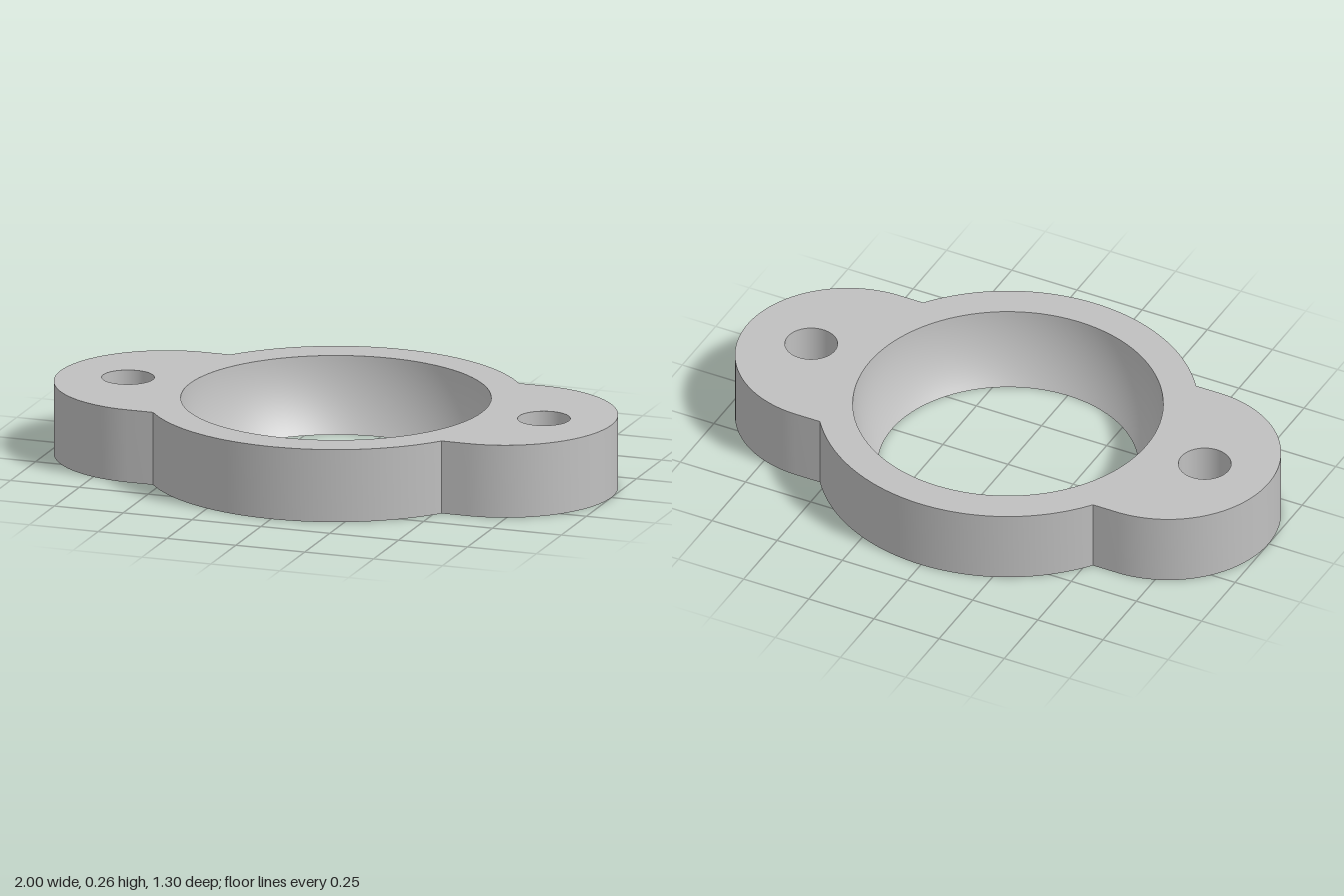
import * as THREE from 'three';
import { toCreasedNormals } from 'three/addons/utils/BufferGeometryUtils.js';

const HEIGHT = 0.257;
const RING_R = 0.65;
const LOBE_X = 0.615, LOBE_R = 0.385;
const SCREW_X = 0.755, SCREW_R = 0.09, SINK_R = 0.175;
const SEAT_Y = 0.29, SEAT_R = 0.531; // sphere that forms the central bore

const seatRadius = (y) => Math.sqrt(SEAT_R ** 2 - (SEAT_Y - y) ** 2);

// Round ring merged with two rounded lugs
function outline() {
  const a = Math.asin(LOBE_R / RING_R), h = Math.PI / 2;
  const s = new THREE.Shape();
  s.absarc(LOBE_X, 0, LOBE_R, -h, h);
  s.absarc(0, 0, RING_R, a, Math.PI - a);
  s.absarc(-LOBE_X, 0, LOBE_R, h, 3 * h);
  s.absarc(0, 0, RING_R, Math.PI + a, 2 * Math.PI - a);
  s.closePath();
  return s;
}

// Flat face with the bore and both screw openings
function faceGeometry(boreR, screwR) {
  const s = outline();
  for (const [x, r] of [[0, boreR], [SCREW_X, screwR], [-SCREW_X, screwR]]) {
    s.holes.push(new THREE.Path().absarc(x, 0, r, 0, Math.PI * 2, true));
  }
  return new THREE.ShapeGeometry(s, 48);
}

// Outer wall: only the sides of the extrusion
function wallGeometry() {
  const solid = new THREE.ExtrudeGeometry(outline(), { depth: HEIGHT, bevelEnabled: false, curveSegments: 32 });
  const { start, count } = solid.groups[1];
  const sides = solid.attributes.position.array.slice(start * 3, (start + count) * 3);
  const g = new THREE.BufferGeometry();
  g.setAttribute('position', new THREE.BufferAttribute(sides, 3));
  return toCreasedNormals(g.rotateX(-Math.PI / 2), 0.5);
}

// Inward-facing surface of revolution, profile listed from top to bottom
function holeGeometry(profile) {
  return new THREE.LatheGeometry(profile.map(([r, y]) => new THREE.Vector2(r, y)), 96).rotateY(Math.PI / 2);
}

export function createModel() {
  const group = new THREE.Group();
  group.name = 'flange';
  const grey = new THREE.MeshStandardMaterial({ color: 0xc0c0c0 });
  grey.name = 'light grey';

  const add = (name, geometry, x = 0, y = 0) => {
    const mesh = new THREE.Mesh(geometry, grey);
    mesh.name = name;
    mesh.position.set(x, y, 0);
    group.add(mesh);
  };

  add('outerWall', wallGeometry());
  add('topFace', faceGeometry(seatRadius(HEIGHT), SCREW_R).rotateX(-Math.PI / 2), 0, HEIGHT);
  add('bottomFace', faceGeometry(seatRadius(0), SINK_R).rotateX(Math.PI / 2));

  // Spherical seat
  const seat = [];
  for (let i = 0; i <= 16; i++) {
    const y = HEIGHT * (1 - i / 16);
    seat.push([seatRadius(y), y]);
  }
  add('boreSeat', holeGeometry(seat));

  // Screw holes, countersunk from below
  const sinkTop = SINK_R - SCREW_R;
  for (const [side, sx] of [['left', 1], ['right', -1]]) {
    add(side + 'ScrewHole', holeGeometry([[SCREW_R, HEIGHT], [SCREW_R, sinkTop]]), sx * SCREW_X);
    add(side + 'Countersink', holeGeometry([[SCREW_R, sinkTop], [SINK_R, 0]]), sx * SCREW_X);
  }
  return group;
}
